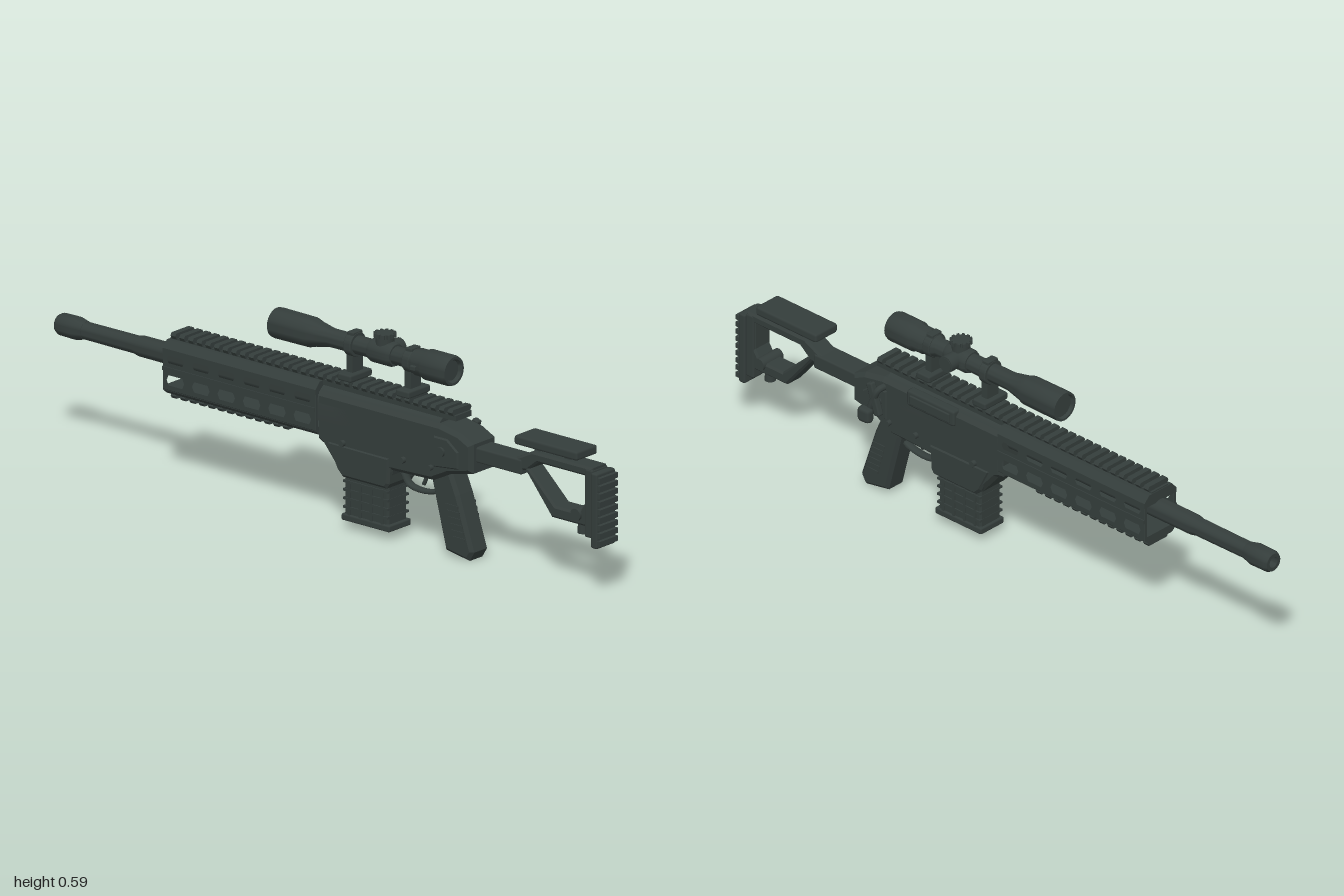
import * as THREE from 'three';
import { mergeGeometries, toCreasedNormals } from 'three/addons/utils/BufferGeometryUtils.js';
import { RoundedBoxGeometry } from 'three/addons/geometries/RoundedBoxGeometry.js';

export function createModel() {
  const gunmetal = new THREE.MeshStandardMaterial({ color: 0x343d3b });
  gunmetal.name = 'gunmetal';
  const model = new THREE.Group();
  model.name = 'rifle';
  const body = new THREE.Group();
  body.name = 'rifleBody';
  body.position.x = -0.018;
  model.add(body);

  const add = (name, geo, x = 0, y = 0, z = 0) => {
    const m = new THREE.Mesh(geo, gunmetal);
    m.name = name;
    m.position.set(x, y, z);
    body.add(m);
    return m;
  };
  const box = (w, h, d, x = 0, y = 0, z = 0) => new THREE.BoxGeometry(w, h, d).translate(x, y, z);
  const rbox = (w, h, d, r = 0.006) => new RoundedBoxGeometry(w, h, d, 1, r);
  const path = (pts) => pts.map(([a, b]) => new THREE.Vector2(a, b));
  // side outline given as [z, y], extruded across x
  const side = (pts, width, bevel = 0.006, holes = []) => {
    const shape = new THREE.Shape(path(pts));
    holes.forEach((h) => shape.holes.push(new THREE.Path(path(h))));
    const depth = width - 2 * bevel;
    return new THREE.ExtrudeGeometry(shape, {
      depth, bevelEnabled: bevel > 0, bevelSize: bevel, bevelThickness: bevel, bevelOffset: -bevel, bevelSegments: 1,
    }).translate(0, 0, -depth / 2).rotateY(-Math.PI / 2);
  };
  // section given as [x, y], extruded along z
  const along = (pts, z0, z1) => new THREE.ExtrudeGeometry(new THREE.Shape(path(pts)), { depth: z1 - z0, bevelEnabled: false }).translate(0, 0, z0);
  // turned part along z, profile given as [radius, z] with z rising
  const turned = (pts, seg = 24) => toCreasedNormals(new THREE.LatheGeometry(path(pts), seg).rotateX(Math.PI / 2), 0.6);
  const knobX = (r, len, seg = 16) => new THREE.CylinderGeometry(r, r, len, seg).rotateZ(Math.PI / 2);
  const repeat = (n, make) => mergeGeometries(Array.from({ length: n }, (_, i) => make(i)));

  // Butt pad with ridges
  add('buttPad', rbox(0.08, 0.22, 0.024), 0, 0.25, 0.977);
  add('buttPadRidges', repeat(9, (i) => box(0.076, 0.015, 0.014, 0, 0.158 + i * 0.023, 0.993)));

  // Skeleton stock
  add('stockFrame', side(
    [[0.965, 0.37], [0.745, 0.37], [0.68, 0.338], [0.53, 0.338], [0.53, 0.298], [0.68, 0.302], [0.72, 0.31], [0.815, 0.195], [0.965, 0.195]],
    0.064, 0.006,
    [[[0.935, 0.342], [0.765, 0.342], [0.735, 0.318], [0.83, 0.23], [0.915, 0.23], [0.935, 0.26]]]));
  add('stockSpine', rbox(0.068, 0.2, 0.03), 0, 0.265, 0.952);
  add('stockBridge', rbox(0.07, 0.045, 0.17), 0, 0.317, 0.625);
  add('cheekRest', rbox(0.09, 0.028, 0.23, 0.008), 0, 0.397, 0.805);
  add('cheekRestPosts', repeat(2, (i) => box(0.03, 0.03, 0.02, 0, 0.375, 0.75 + i * 0.11)));
  add('stockKnob', new THREE.CylinderGeometry(0.014, 0.016, 0.045, 12), 0, 0.185, 0.905);
  add('stockAdjuster', knobX(0.018, 0.08), 0, 0.225, 0.91);

  // Receiver
  add('lowerReceiver', side(
    [[0.545, 0.265], [0.545, 0.35], [0.5, 0.372], [0.43, 0.385], [-0.02, 0.385], [-0.02, 0.245], [0, 0.235],
      [0.06, 0.165], [0.24, 0.165], [0.25, 0.21], [0.4, 0.215], [0.46, 0.245]], 0.112, 0.012));
  const arch = [[-0.056, 0.3], [0.056, 0.3]];
  for (let i = 0; i <= 12; i++) {
    const a = (i / 12) * Math.PI;
    arch.push([0.056 * Math.cos(a), 0.352 + 0.053 * Math.sin(a)]);
  }
  add('upperReceiver', toCreasedNormals(along(arch, -0.02, 0.42), 0.6));
  add('magazineWell', side([[0.25, 0.25], [0.02, 0.25], [0.055, 0.175], [0.075, 0.155], [0.235, 0.155], [0.245, 0.17]], 0.12, 0.008));
  add('ejectionPort', rbox(0.03, 0.05, 0.18, 0.008), 0.05, 0.367, 0.24);
  add('ejectionPortCover', rbox(0.008, 0.028, 0.15, 0.003), 0.066, 0.367, 0.24);
  add('selectorPlate', side([[0.5, 0.27], [0.5, 0.32], [0.46, 0.35], [0.41, 0.35], [0.41, 0.26]], 0.122, 0.004));
  for (const [y, z, r] of [[0.255, 0.08, 0.009], [0.255, 0.3, 0.009], [0.31, 0.44, 0.014], [0.255, 0.4, 0.008]])
    add('receiverPin', knobX(r, 0.136, 12), 0, y, z);

  // Bolt handle
  const bolt = new THREE.CatmullRomCurve3([[0.04, 0.36, 0.42], [0.075, 0.355, 0.427], [0.08, 0.32, 0.44], [0.082, 0.275, 0.457]].map((p) => new THREE.Vector3(...p)));
  add('boltArm', new THREE.TubeGeometry(bolt, 16, 0.01, 8));
  add('boltPlate', rbox(0.02, 0.1, 0.022, 0.005), 0.078, 0.325, 0.436).rotation.x = 0.33;
  add('boltKnob', rbox(0.03, 0.046, 0.046, 0.012), 0.093, 0.274, 0.457);

  // Pistol grip with finger ridges
  add('pistolGrip', side([[0.45, 0.25], [0.375, 0.25], [0.382, 0.2], [0.43, 0.015], [0.515, 0], [0.532, 0.028], [0.479, 0.185]], 0.073, 0.01));
  add('gripRidges', repeat(6, (i) => box(0.078, 0.008, 0.045, 0, 0.06 + i * 0.018, 0.484 - i * 0.005)));

  // Trigger and guard
  const rod = (pts, r) => new THREE.TubeGeometry(new THREE.CatmullRomCurve3(pts.map(([z, y]) => new THREE.Vector3(0, y, z))), 24, r, 8);
  add('triggerGuard', rod([[0.4, 0.185], [0.38, 0.167], [0.32, 0.156], [0.275, 0.165], [0.25, 0.2]], 0.007).scale(2, 1, 1));
  add('trigger', rod([[0.33, 0.225], [0.335, 0.2], [0.325, 0.175]], 0.006));

  // Magazine with raised grid
  add('magazine', side([[0.23, 0.18], [0.07, 0.18], [0.07, 0.035], [0.23, 0.035]], 0.082, 0.006));
  add('magazineRows', repeat(4, (i) => box(0.09, 0.007, 0.162, 0, 0.065 + i * 0.025, 0.15)));
  add('magazineColumns', repeat(4, (i) => box(0.09, 0.11, 0.008, 0, 0.09, 0.09 + i * 0.04)));
  add('magazineFloor', rbox(0.094, 0.02, 0.176, 0.005), 0, 0.035, 0.151);

  // Accessory rails: base strip plus teeth
  const rail = (name, z0, z1, y, dir, half) => {
    const pitch = 0.0315;
    const n = Math.floor((z1 - z0) / pitch);
    const tooth = [[-half + 0.006, 0], [half - 0.006, 0], [half, 0.01], [half - 0.005, 0.018], [-half + 0.005, 0.018], [-half, 0.01]];
    const flip = dir < 0 ? Math.PI : 0;
    add(name + 'Base', box(half * 1.6, 0.016, z1 - z0), 0, y - dir * 0.006, (z0 + z1) / 2);
    add(name + 'Teeth', repeat(n, (i) => along(tooth, -0.009, 0.009).rotateZ(flip).translate(0, 0, z0 + (i + 0.5) * (z1 - z0) / n)), 0, y, 0);
  };
  rail('topRail', -0.57, 0.47, 0.412, 1, 0.041);
  rail('bottomRail', -0.57, -0.13, 0.258, -1, 0.041);

  // Handguard: top cover, slotted sides, floor and end frame
  add('handguardTop', along([[-0.064, 0.375], [0.064, 0.375], [0.064, 0.39], [0.046, 0.41], [-0.046, 0.41], [-0.064, 0.39]], -0.572, -0.015));
  add('handguardFloor', along([[-0.046, 0.255], [0.046, 0.255], [0.062, 0.268], [0.062, 0.28], [-0.062, 0.28], [-0.062, 0.268]], -0.572, -0.015));
  const slots = [];
  for (let i = 0; i < 6; i++) {
    const z = -0.525 + i * 0.0925;
    for (const [y, h] of [[0.361, 0.013], [0.3, 0.017]])
      slots.push([[z - 0.034, y], [z - 0.026, y + h], [z + 0.026, y + h], [z + 0.034, y], [z + 0.026, y - h], [z - 0.026, y - h]]);
  }
  for (const s of [-1, 1]) {
    add('handguardSide', side([[-0.572, 0.27], [-0.572, 0.385], [-0.015, 0.385], [-0.015, 0.27]], 0.012, 0.002, slots), s * 0.058);
    add('handguardRib', box(0.006, 0.012, 0.555), s * 0.064, 0.332, -0.294);
  }

  // Barrel and muzzle
  add('barrel', turned([[0, -0.93], [0.025, -0.93], [0.026, -0.72], [0.03, -0.7], [0.031, 0], [0, 0]]));
  body.getObjectByName('barrel').position.y = 0.35;
  add('muzzle', turned([[0, -0.975], [0.014, -0.975], [0.016, -1], [0.027, -1], [0.032, -0.99], [0.033, -0.935], [0.026, -0.905], [0, -0.905]]), 0, 0.35);

  // Scope
  add('scopeTube', turned([
    [0, -0.2], [0.034, -0.2], [0.037, -0.21], [0.043, -0.21], [0.044, -0.2], [0.043, -0.08], [0.037, -0.06], [0.027, -0.01],
    [0.026, 0.26], [0.034, 0.275], [0.034, 0.3], [0.039, 0.31], [0.039, 0.335], [0.044, 0.345], [0.044, 0.425], [0.041, 0.435],
    [0.034, 0.435], [0.029, 0.425], [0, 0.425]], 28), 0, 0.528);
  add('scopeSaddle', turned([[0, 0.14], [0.031, 0.14], [0.035, 0.15], [0.035, 0.215], [0.031, 0.225], [0, 0.225]]), 0, 0.528);
  add('topTurret', new THREE.CylinderGeometry(0.026, 0.026, 0.05, 18), 0, 0.56, 0.183);
  add('topTurretKnurls', repeat(12, (i) => box(0.008, 0.012, 0.008, 0.028, 0, 0).rotateY(i * Math.PI / 6)), 0, 0.58, 0.183);
  add('sideTurret', knobX(0.025, 0.045, 18), 0.04, 0.53, 0.183);
  add('sideTurretCap', knobX(0.021, 0.008, 18), 0.06, 0.53, 0.183);
  add('zoomLever', rbox(0.012, 0.014, 0.02, 0.003), -0.042, 0.523, 0.322);

  // Scope mounts
  for (const z of [0.285, 0.073]) {
    add('scopeRing', turned([[0, -0.013], [0.034, -0.013], [0.036, -0.01], [0.036, 0.01], [0.034, 0.013], [0, 0.013]]), 0, 0.528, z);
    add('scopeRingCap', rbox(0.04, 0.012, 0.024, 0.003), 0, 0.561, z);
    add('mountPost', box(0.044, 0.07, 0.022), 0, 0.475, z);
    add('mountClamp', rbox(0.094, 0.022, 0.05, 0.006), 0, 0.44, z);
    add('mountFoot', box(0.07, 0.02, 0.036), 0, 0.425, z);
  }
  return model;
}
